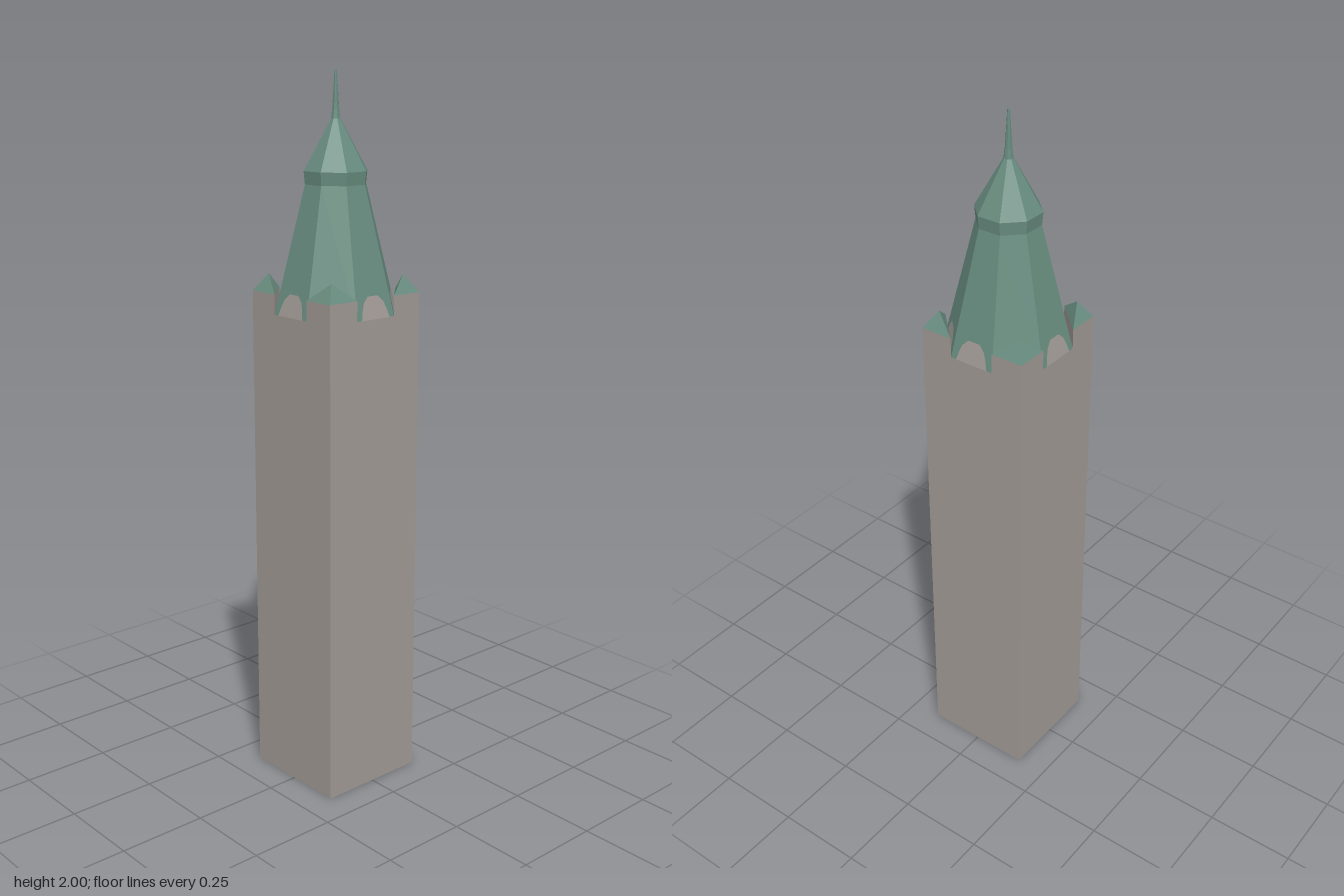
import * as THREE from 'three';
import { ConvexGeometry } from 'three/addons/geometries/ConvexGeometry.js';

const HALF = 0.161;    // half width of the shaft, also the spire's base apothem
const SIDE = 0.0667;   // half side of the spire's octagonal base
const EAVES = 1.36, WALL_TOP = 1.415;

function material(name, color, extra = {}) {
  const m = new THREE.MeshStandardMaterial({ color, flatShading: true, ...extra });
  m.name = name;
  return m;
}

export function createModel() {
  const tower = new THREE.Group();
  tower.name = 'tower';
  const stone = material('stone grey', 0xa19a96);
  const copper = material('copper green', 0x688c7f);
  const blue = material('slate blue', 0x5a85b4);
  const black = material('black', 0x0a0a0a);

  const add = (name, geometry, mat, parent = tower) => {
    const mesh = new THREE.Mesh(geometry, mat);
    mesh.name = name;
    parent.add(mesh);
    return mesh;
  };

  // Square shaft
  add('shaft', new THREE.BoxGeometry(HALF * 2, EAVES, HALF * 2).translate(0, EAVES / 2, 0), stone);

  // Eight-sided spire: flared body, narrow lip, upper cone and needle
  const profile = [[HALF, EAVES], [0.08, 1.705], [0.083, 1.74], [0.012, 1.875], [0.009, 1.9], [0.003, 2], [0, 2]]
    .map(([apothem, y]) => new THREE.Vector2(apothem / Math.cos(Math.PI / 8), y));
  add('spire', new THREE.LatheGeometry(profile, 8, Math.PI / 8), copper);

  // Raised wall corners, each capped by a small broach pyramid
  for (const sx of [-1, 1]) for (const sz of [-1, 1]) {
    const triangle = (y) => [[HALF, HALF], [SIDE, HALF], [HALF, SIDE]]
      .map(([x, z]) => new THREE.Vector3(sx * x, y, sz * z));
    add('wallCorner', new ConvexGeometry([...triangle(EAVES), ...triangle(WALL_TOP)]), stone);
    const peak = new THREE.Vector3(sx * 0.129, 1.463, sz * 0.129);
    add('cornerRoof', new ConvexGeometry([...triangle(WALL_TOP), peak]), copper);
  }

  // Stone patch at the foot of every spire face
  const patchShape = new THREE.Shape([[-0.05, 0], [0.05, 0], [0.043, 0.025], [0.035, 0.045], [0.018, 0.062],
    [-0.018, 0.062], [-0.035, 0.045], [-0.043, 0.025]].map(([x, y]) => new THREE.Vector2(x, y)));
  const patchGeometry = new THREE.ShapeGeometry(patchShape);
  const tilt = Math.atan2(HALF - 0.08, 1.705 - EAVES);
  for (let i = 0; i < 8; i++) {
    const face = new THREE.Group();
    face.name = 'spireFace';
    face.rotation.y = i * Math.PI / 4;
    tower.add(face);
    const patch = add('stonePatch', patchGeometry, stone, face);
    patch.position.set(0, EAVES, HALF + 0.001);
    patch.rotation.x = -tilt;
  }

  // Painted marks on the underside, placed as fractions of the width from the -x, -z corner
  const mark = (name, x0, x1, z0, z1, mat) => {
    const w = HALF * 2;
    const plate = add(name, new THREE.PlaneGeometry((x1 - x0) * w, (z1 - z0) * w).rotateX(Math.PI / 2), mat);
    plate.position.set((x0 + x1) / 2 * w - HALF, -0.001, (z0 + z1) / 2 * w - HALF);
  };
  mark('blueMark', 0, 0.33, 0, 0.33, blue);
  mark('blackBand', 0, 1, 0.33, 0.43, black);
  mark('blackBranch', 0.33, 0.42, 0.08, 0.33, black);
  mark('blackSpot', 0.42, 0.5, 0.57, 0.7, black);

  return tower;
}
